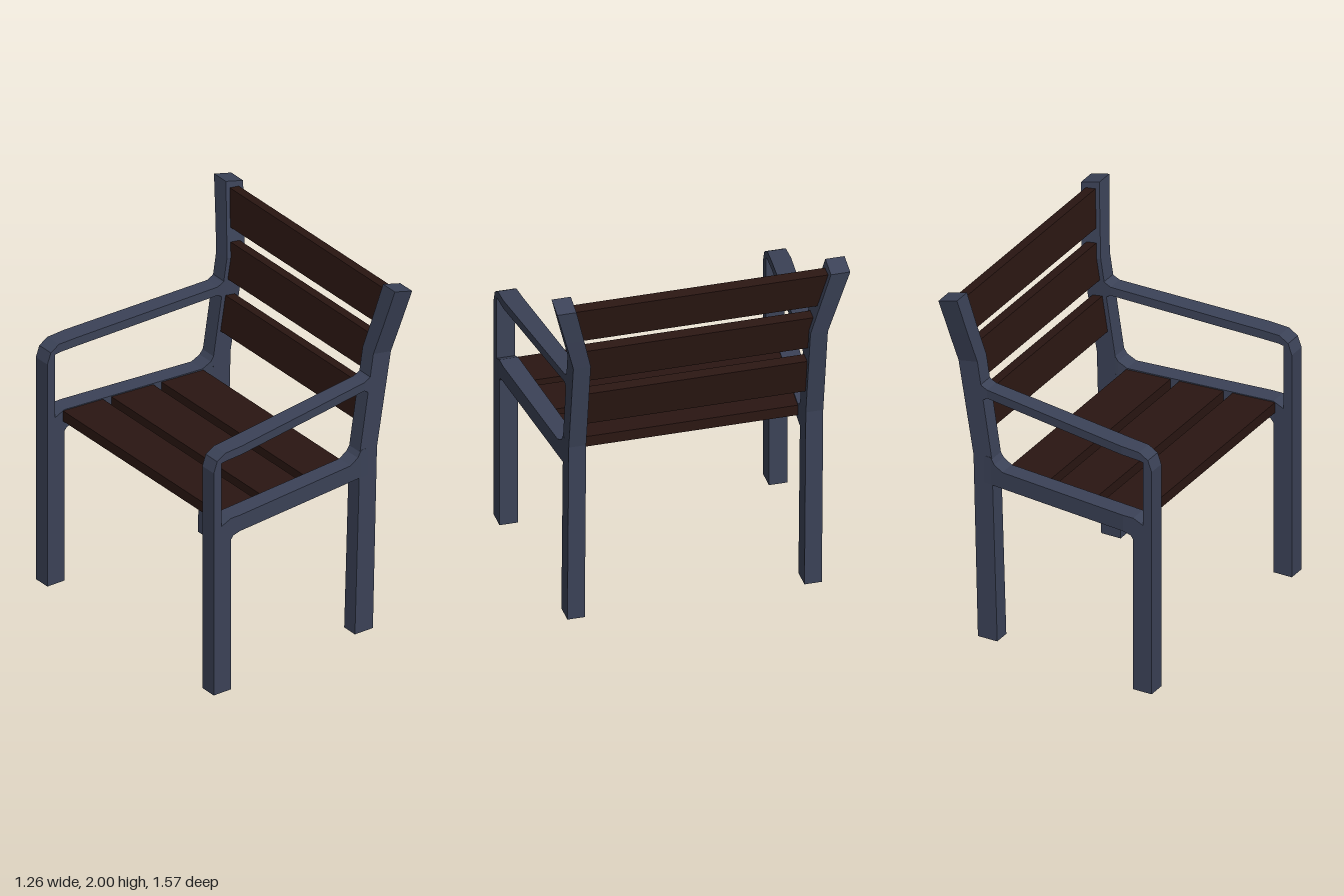
import * as THREE from 'three';

const frameMat = new THREE.MeshStandardMaterial({ color: 0x3b4257, flatShading: true });
const woodMat = new THREE.MeshStandardMaterial({ color: 0x2a1612, flatShading: true });

// Solid bar through a row of four-cornered cross-sections, closed at both ends
function bar(name, sections, material) {
  const tris = [];
  const quad = (a, b, c, d) => tris.push([a, b, c], [a, c, d]);
  for (let i = 0; i < sections.length - 1; i++) {
    const s = sections[i], t = sections[i + 1];
    for (let k = 0; k < 4; k++) {
      const n = (k + 1) % 4;
      quad(s[k], s[n], t[n], t[k]);
    }
  }
  const first = sections[0], last = sections[sections.length - 1];
  quad(first[3], first[2], first[1], first[0]);
  quad(...last);

  // Turn the faces outward whichever way the sections run
  let volume = 0;
  const v = tris.map((t) => t.map((p) => new THREE.Vector3(...p)));
  for (const [a, b, c] of v) volume += a.dot(b.clone().cross(c));
  if (volume < 0) tris.forEach((t) => t.reverse());

  const geometry = new THREE.BufferGeometry();
  geometry.setAttribute('position', new THREE.Float32BufferAttribute(tris.flat(2), 3));
  geometry.computeVertexNormals();
  const mesh = new THREE.Mesh(geometry, material);
  mesh.name = name;
  return mesh;
}

// Section spanning two profile points and a z range
const section = (xa, ya, xb, yb, z0, z1) =>
  [[xa, ya, z0], [xb, yb, z0], [xb, yb, z1], [xa, ya, z1]];

const mix = THREE.MathUtils.lerp;
const ramp = (v, a, b) => THREE.MathUtils.clamp((v - a) / (b - a), 0, 1);

// The frame sides draw together from the front legs to the back posts
const sideIn = (x) => mix(0.67, 0.587, ramp(x, -0.52, 0.36));
const sideOut = (x) => mix(0.77, 0.68, ramp(x, -0.46, 0.4));
// The posts splay outward near the top
const postIn = (y) => mix(0.587, 0.68, ramp(y, 1.6, 1.985));
const postOut = (y) => mix(0.68, 0.783, ramp(y, 1.6, 1.985));

function sideFrame(name, side) {
  const group = new THREE.Group();
  group.name = name;
  const along = (rows) => rows.map(([xa, ya, xb, yb]) =>
    section(xa, ya, xb, yb, side * sideIn((xa + xb) / 2), side * sideOut((xa + xb) / 2)));

  // Front leg bending over into the armrest
  group.add(bar('frontLegAndArmrest', along([
    [-0.63, 0, -0.52, 0],
    [-0.63, 0.88, -0.52, 0.88],
    [-0.63, 0.975, -0.58, 0.975],
    [-0.63, 1.305, -0.58, 1.305],
    [-0.608, 1.367, -0.58, 1.347],
    [-0.555, 1.4, -0.55, 1.352],
    [-0.45, 1.407, -0.45, 1.358],
    [0.4, 1.46, 0.4, 1.411],
    [0.43, 1.475, 0.425, 1.395],
    [0.46, 1.5, 0.45, 1.395],
  ]), frameMat));

  // Seat rail with flared ends
  group.add(bar('seatRail', along([
    [-0.585, 0.975, -0.585, 0.88],
    [-0.52, 1.005, -0.52, 0.88],
    [-0.505, 1.005, -0.505, 0.9],
    [-0.46, 1.005, -0.46, 0.912],
    [0.305, 1.007, 0.305, 0.912],
    [0.355, 1.035, 0.355, 0.912],
    [0.378, 1.07, 0.378, 0.912],
    [0.42, 1.07, 0.42, 0.912],
  ]), frameMat));

  // Rear leg rising into the raked back post
  const post = [
    [0.34, 0, 0.455, 0],
    [0.372, 1.06, 0.481, 1.06],
    [0.458, 1.61, 0.57, 1.59],
    [0.488, 1.79, 0.6, 1.77],
    [0.52, 2, 0.63, 1.97],
  ];
  group.add(bar('rearLegAndBackPost', post.map(([xa, ya, xb, yb]) => {
    const y = (ya + yb) / 2;
    return section(xa, ya, xb, yb, side * postIn(y), side * postOut(y));
  }), frameMat));
  return group;
}

export function createModel() {
  const model = new THREE.Group();
  model.name = 'gardenChair';
  model.add(sideFrame('leftFrame', 1), sideFrame('rightFrame', -1));

  // Seat slats, with ends cut to follow the rails
  const seat = new THREE.Group();
  seat.name = 'seatSlats';
  for (const [x0, x1] of [[-0.53, -0.29], [-0.24, 0.01], [0.06, 0.31]]) {
    const z0 = sideIn(x0) + 0.005, z1 = sideIn(x1) + 0.005;
    const end = (s) => [[x0, 0.94, s * z0], [x1, 0.94, s * z1], [x1, 1, s * z1], [x0, 1, s * z0]];
    seat.add(bar('seatSlat', [end(-1), end(1)], woodMat));
  }
  model.add(seat);

  // Back slats, leaning with the posts and widening with their splay
  const back = new THREE.Group();
  back.name = 'backSlats';
  const centreX = (y) => 0.446 + (y - 1.19) * 0.16;
  const half = 0.029, drop = 0.0045;
  for (const [y0, y1] of [[1.19, 1.39], [1.48, 1.68], [1.755, 1.955]]) {
    const a = centreX(y0), b = centreX(y1);
    const z0 = postIn(y0) + 0.005, z1 = postIn(y1) + 0.005;
    const end = (s) => [
      [a - half, y0 + drop, s * z0], [a + half, y0 - drop, s * z0],
      [b + half, y1 - drop, s * z1], [b - half, y1 + drop, s * z1],
    ];
    back.add(bar('backSlat', [end(-1), end(1)], woodMat));
  }
  model.add(back);
  return model;
}
